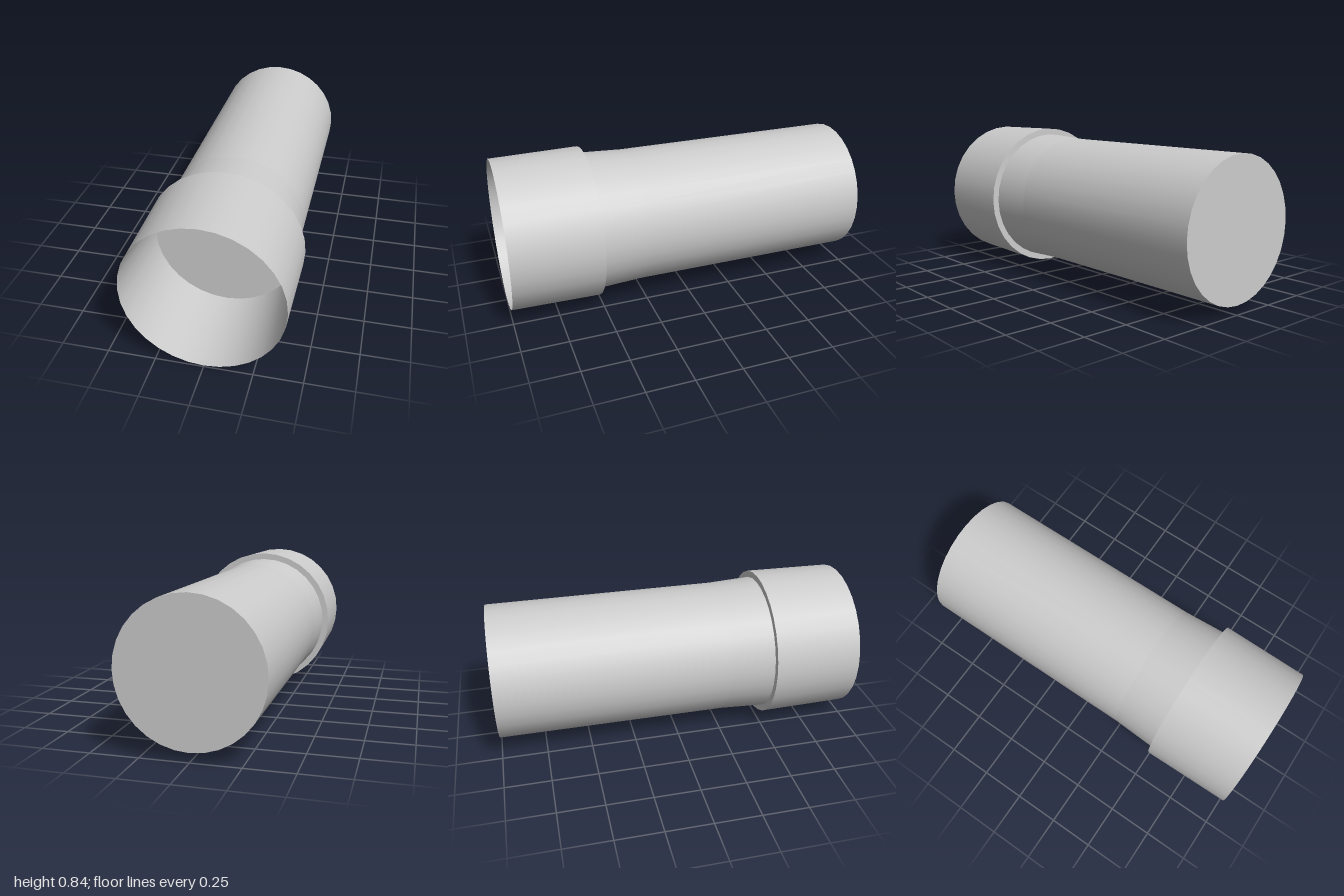
import * as THREE from 'three';

const SIDES = 32;
const RIM = 0.411, COLLAR = 0.418, NECK = 0.382, PIPE = 0.37;
const FRONT = 1, STEP = 0.515, TAPER = 0.27, BACK = -1;

export function createModel() {
  const group = new THREE.Group();
  group.name = 'pipeCoupling';
  const grey = new THREE.MeshStandardMaterial({ color: 0xcccccc });
  grey.name = 'light grey';

  // One surface of revolution about z, from (radius, z) to (radius, z)
  const ring = (name, r0, z0, r1, z1) => {
    const points = [new THREE.Vector2(r0, z0), new THREE.Vector2(r1, z1)];
    const geometry = new THREE.LatheGeometry(points, SIDES);
    geometry.rotateX(Math.PI / 2);
    const mesh = new THREE.Mesh(geometry, grey);
    mesh.name = name;
    mesh.position.y = COLLAR;
    group.add(mesh);
  };

  // Closed pipe with a slightly flared neck
  ring('backCap', 0, BACK, PIPE, BACK);
  ring('pipe', PIPE, BACK, PIPE, TAPER);
  ring('neckTaper', PIPE, TAPER, NECK, STEP);

  // Wider collar, open at the front with a thin rim
  ring('collarShoulder', NECK, STEP, COLLAR, STEP);
  ring('collarOuterWall', COLLAR, STEP, RIM, FRONT);
  ring('socketInnerWall', RIM, FRONT, NECK, STEP);
  ring('socketFloor', NECK, STEP, 0, STEP);

  return group;
}
